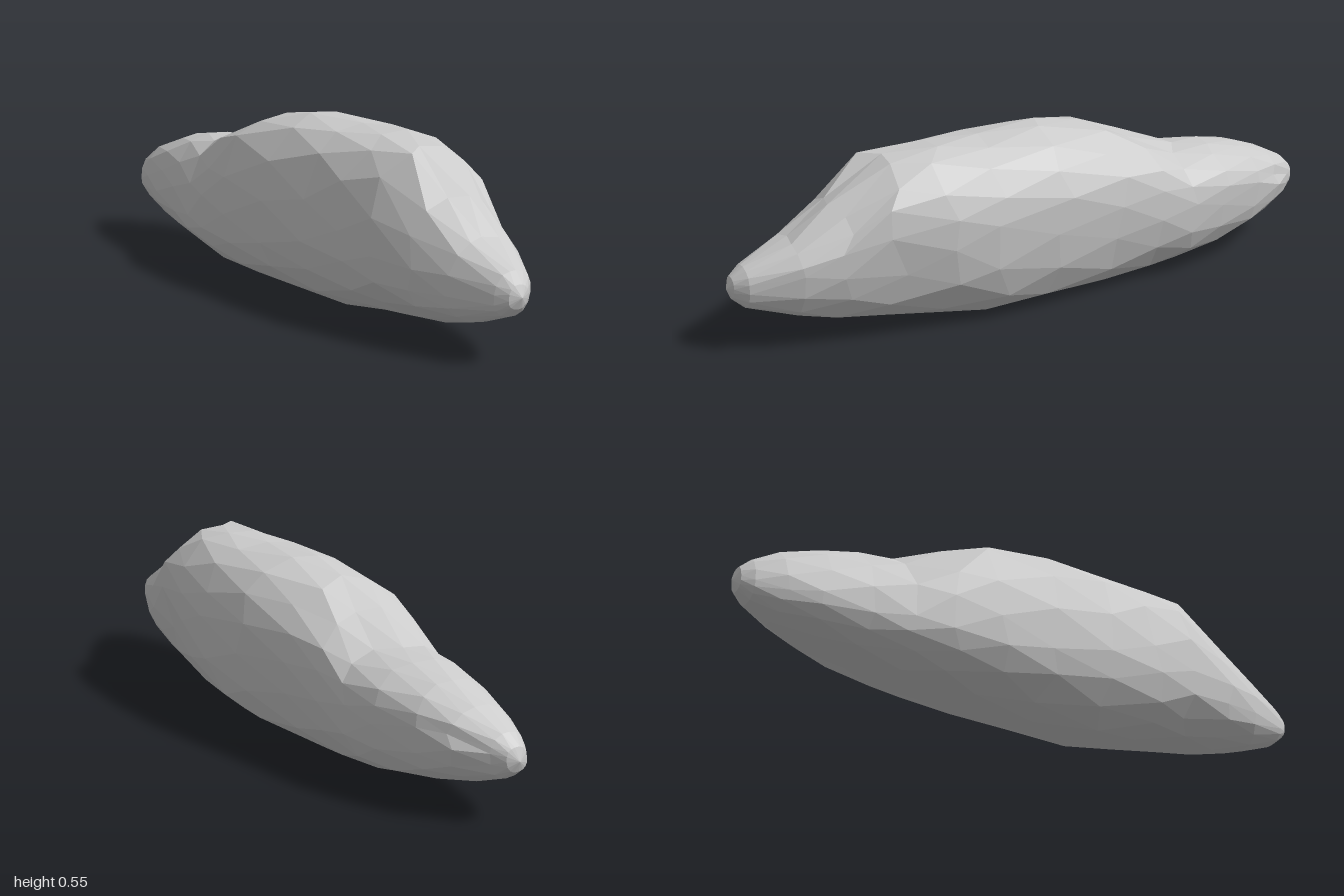
import * as THREE from 'three';

const SIDES = 16;

// Cross-sections from front to back: z, bottom, top, right edge, left edge
const SECTIONS = [
  [0.985, 0.17, 0.24, -0.025, 0.04],
  [0.95, 0.14, 0.27, -0.05, 0.075],
  [0.82, 0.095, 0.335, -0.11, 0.14],
  [0.68, 0.062, 0.425, -0.148, 0.172],
  [0.53, 0.048, 0.54, -0.175, 0.205],
  [0.38, 0.025, 0.555, -0.19, 0.235],
  [0.2, 0.003, 0.557, -0.207, 0.24],
  [0.0, 0.0, 0.56, -0.225, 0.228],
  [-0.2, 0.003, 0.53, -0.242, 0.195],
  [-0.35, 0.014, 0.467, -0.238, 0.178],
  [-0.48, 0.03, 0.402, -0.222, 0.165],
  [-0.62, 0.052, 0.393, -0.205, 0.142],
  [-0.75, 0.078, 0.37, -0.188, 0.097],
  [-0.86, 0.107, 0.325, -0.168, 0.05],
  [-0.95, 0.137, 0.272, -0.145, -0.025],
  [-0.985, 0.165, 0.24, -0.125, -0.055],
];

// Small seeded generator for the uneven facets
function makeRandom(seed) {
  return () => {
    seed = (seed * 16807) % 2147483647;
    return seed / 2147483647;
  };
}

function rockGeometry() {
  const random = makeRandom(41);
  const positions = [];
  const index = [];

  SECTIONS.forEach(([z, bottom, top, x0, x1], i) => {
    const halfWidth = (x1 - x0) / 2;
    const halfHeight = (top - bottom) / 2;
    for (let j = 0; j < SIDES; j++) {
      // Every second ring is turned by half a step, which staggers the facets
      const angle = ((j + (i % 2) * 0.5 + (random() - 0.5) * 0.25) / SIDES) * Math.PI * 2;
      const c = Math.cos(angle), s = Math.sin(angle);
      // Rounded-box section, with its left flank raised and right flank lowered
      const r = (1.005 - random() * 0.025) / Math.pow(Math.abs(c) ** 2.35 + Math.abs(s) ** 2.35, 1 / 2.35);
      const lean = 0.25 * halfWidth * c * (1 - Math.abs(s));
      const drift = (random() - 0.5) * Math.min(0.07, halfWidth * 0.3);
      positions.push(
        (x0 + x1) / 2 + halfWidth * r * c,
        Math.max(0, (top + bottom) / 2 + halfHeight * r * s + lean),
        z + (Math.abs(z) < 0.9 ? drift : 0)
      );
    }
  });

  // Staggered triangle bands between neighbouring rings
  for (let i = 0; i < SECTIONS.length - 1; i++) {
    for (let j = 0; j < SIDES; j++) {
      const k = (j + 1) % SIDES;
      const a = i * SIDES + j, b = i * SIDES + k;
      const c = a + SIDES, d = b + SIDES;
      if (i % 2 === 0) index.push(a, c, b, c, d, b);
      else index.push(a, c, d, a, d, b);
    }
  }

  // Blunt tips
  const front = positions.length / 3, back = front + 1;
  positions.push(0.01, 0.205, 1, -0.09, 0.2, -1);
  const last = (SECTIONS.length - 1) * SIDES;
  for (let j = 0; j < SIDES; j++) {
    const k = (j + 1) % SIDES;
    index.push(front, j, k, back, last + k, last + j);
  }

  const geometry = new THREE.BufferGeometry();
  geometry.setAttribute('position', new THREE.Float32BufferAttribute(positions, 3));
  geometry.setIndex(index);
  const faceted = geometry.toNonIndexed();
  faceted.computeVertexNormals();
  return faceted;
}

export function createModel() {
  const group = new THREE.Group();
  const rock = new THREE.Mesh(
    rockGeometry(),
    new THREE.MeshStandardMaterial({ color: 0xcccccc, flatShading: true })
  );
  rock.name = 'rock';
  group.add(rock);
  return group;
}
